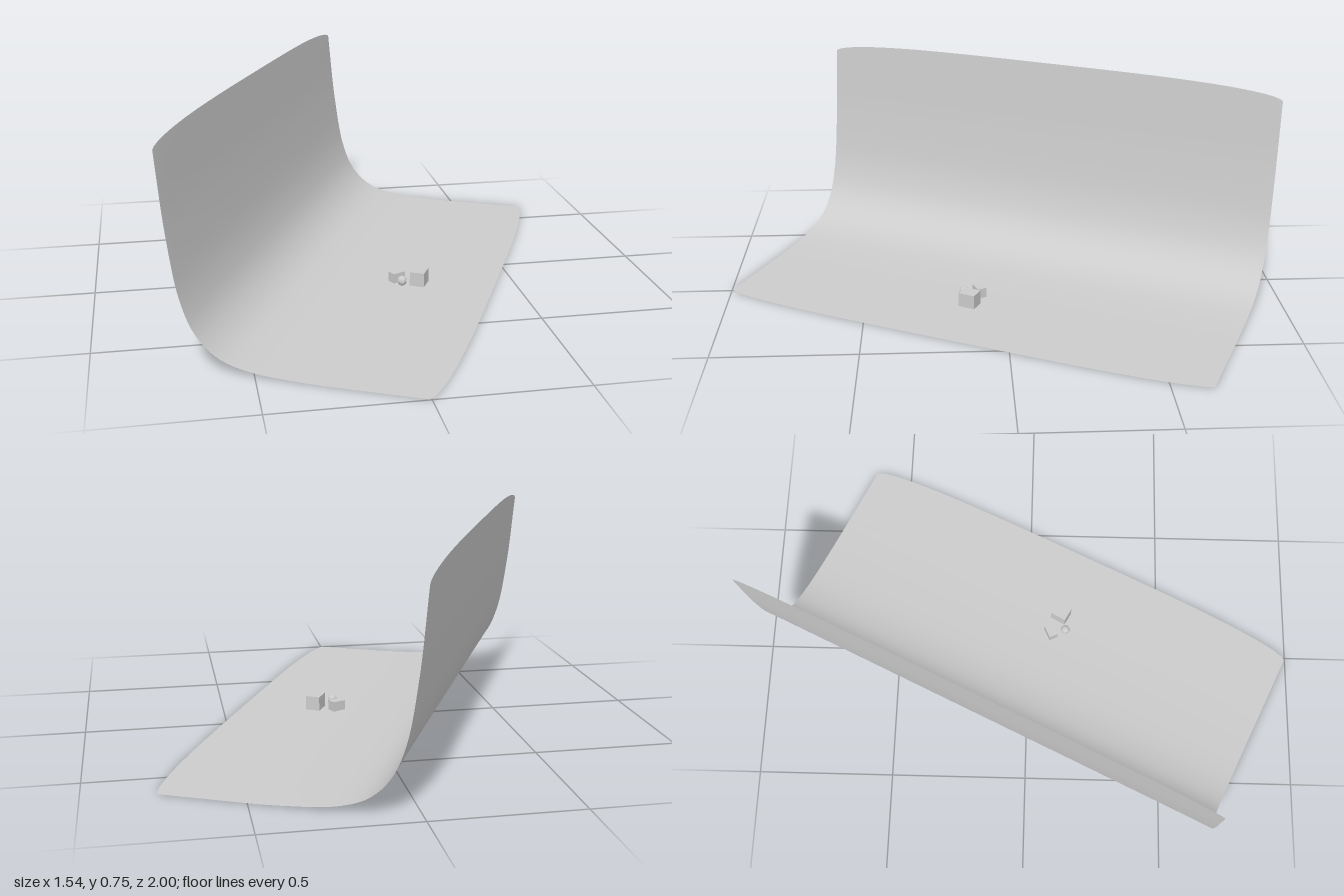
import * as THREE from 'three';

const HALF_LENGTH = 0.906;
const WALL_HEIGHT = 0.7;
const FLOOR_DEPTH = 0.84;

// Side profile of the sweep: x is depth from the wall, y is height.
const profile = new THREE.CatmullRomCurve3(
  [[0, 0.7], [0.027, 0.43], [0.063, 0.225], [0.108, 0.12], [0.177, 0.053],
    [0.27, 0.02], [0.44, 0.004], [0.62, 0.001], [0.84, 0.001]]
    .map(([x, y]) => new THREE.Vector3(x, y, 0)),
);

// Curved sheet, running from the wall down to the floor, with bowed outer edges.
function sheetGeometry() {
  const geometry = new THREE.PlaneGeometry(1, 2, 64, 64);
  const pos = geometry.attributes.position;
  for (let i = 0; i < pos.count; i++) {
    const along = Math.sin(pos.getY(i) * Math.PI / 2);
    const p = profile.getPointAt(THREE.MathUtils.clamp(pos.getX(i) + 0.5, 0, 1));
    const bow = Math.sqrt(Math.max(0, 1 - Math.abs(along) ** 3.5));
    pos.setXYZ(
      i,
      p.x + 0.05 * bow * (p.x / FLOOR_DEPTH) ** 2,
      Math.max(0.001, p.y + 0.046 * bow * (p.y / WALL_HEIGHT) ** 2),
      -HALF_LENGTH * along,
    );
  }
  geometry.computeVertexNormals();
  return geometry;
}

export function createModel() {
  const model = new THREE.Group();
  model.name = 'backdropWithProps';

  const sheetMaterial = new THREE.MeshStandardMaterial({ color: 0xcccccc, side: THREE.DoubleSide });
  const propMaterial = new THREE.MeshStandardMaterial({ color: 0xcccccc, flatShading: true });

  function add(name, geometry, material, x, y, z, yaw) {
    const mesh = new THREE.Mesh(geometry, material);
    mesh.name = name;
    mesh.position.set(x, y, z);
    mesh.rotation.y = yaw;
    model.add(mesh);
  }

  // Backdrop, turned about the vertical
  add('backdropSheet', sheetGeometry(), sheetMaterial, -0.385, 0, -0.18, -0.439);

  // Small props standing on the floor
  add('largeBlock', new THREE.BoxGeometry(0.053, 0.053, 0.062), propMaterial, 0.157, 0.0265, 0.125, -0.5);
  add('smallBlock', new THREE.BoxGeometry(0.05, 0.038, 0.034), propMaterial, 0.082, 0.019, 0.087, 0.42);
  add('ball', new THREE.SphereGeometry(0.018, 8, 6), propMaterial, 0.09, 0.024, 0.143, 0.2);

  return model;
}
